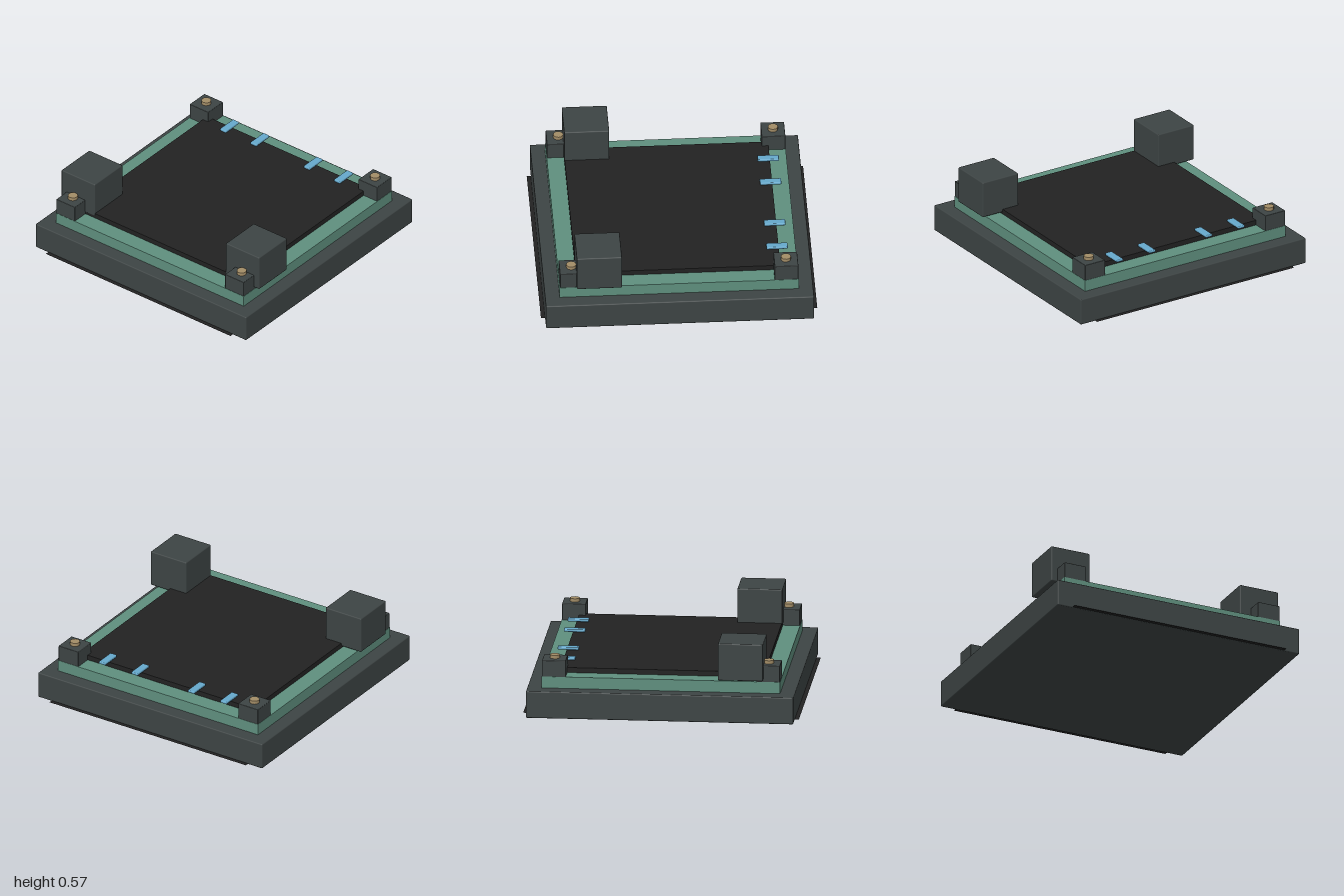
import * as THREE from 'three';
import { RoundedBoxGeometry } from 'three/addons/geometries/RoundedBoxGeometry.js';

const mat = (name, color, side = THREE.FrontSide) => {
  const m = new THREE.MeshStandardMaterial({ color, side });
  m.name = name;
  return m;
};

export function createModel() {
  const slate = mat('slate', 0x3d4444);
  const green = mat('green', 0x5f8f7e);
  const black = mat('black', 0x222222, THREE.DoubleSide);
  const blue = mat('blue', 0x66a9cc);
  const brass = mat('brass', 0xa38d67);

  const model = new THREE.Group();
  model.name = 'framedPanel';

  const add = (name, geometry, material, x, y, z) => {
    const mesh = new THREE.Mesh(geometry, material);
    mesh.name = name;
    mesh.position.set(x, y, z);
    model.add(mesh);
    return mesh;
  };
  // Softly bevelled block standing on y0
  const block = (name, material, x, y0, z, w, h, d, bevel = 0.008) =>
    add(name, new RoundedBoxGeometry(w, h, d, 2, bevel), material, x, y0 + h / 2, z);

  // Base, with a thin sheet showing at both sides
  block('base', slate, 0, 0, 0, 1.94, 0.2, 1.94);
  add('underSheet', new THREE.PlaneGeometry(2, 1.7), black, 0, 0.006, 0).rotation.x = -Math.PI / 2;

  // Green frame: two full beams and two fitted between them
  for (const s of [-1, 1]) {
    add('frameLongBeam', new THREE.BoxGeometry(1.73, 0.09, 0.13), green, 0, 0.24, s * 0.8);
    add('frameSideBeam', new THREE.BoxGeometry(0.13, 0.09, 1.47), green, s * 0.8, 0.24, 0);
  }

  // Dark panel inside the frame
  add('panel', new THREE.BoxGeometry(1.48, 0.125, 1.48), black, 0, 0.26, 0);

  // Corner blocks with brass studs
  const stud = new THREE.CylinderGeometry(0.036, 0.036, 0.03, 12);
  for (const x of [-1, 1]) {
    for (const z of [-1, 1]) {
      block('cornerBlock', slate, x * 0.777, 0.275, z * 0.777, 0.172, 0.13, 0.172, 0.005);
      add('stud', stud, brass, x * 0.777, 0.415, z * 0.777);
    }
  }

  // Large blocks on the right edge
  for (const s of [-1, 1]) block('largeBlock', slate, -0.58, 0.3, s * 0.757, 0.326, 0.275, 0.308);

  // Blue clips on the left edge
  for (const z of [-0.525, -0.245, 0.245, 0.525]) {
    block('clip', blue, 0.728, 0.325, z, 0.155, 0.02, 0.056, 0.007);
  }

  return model;
}
